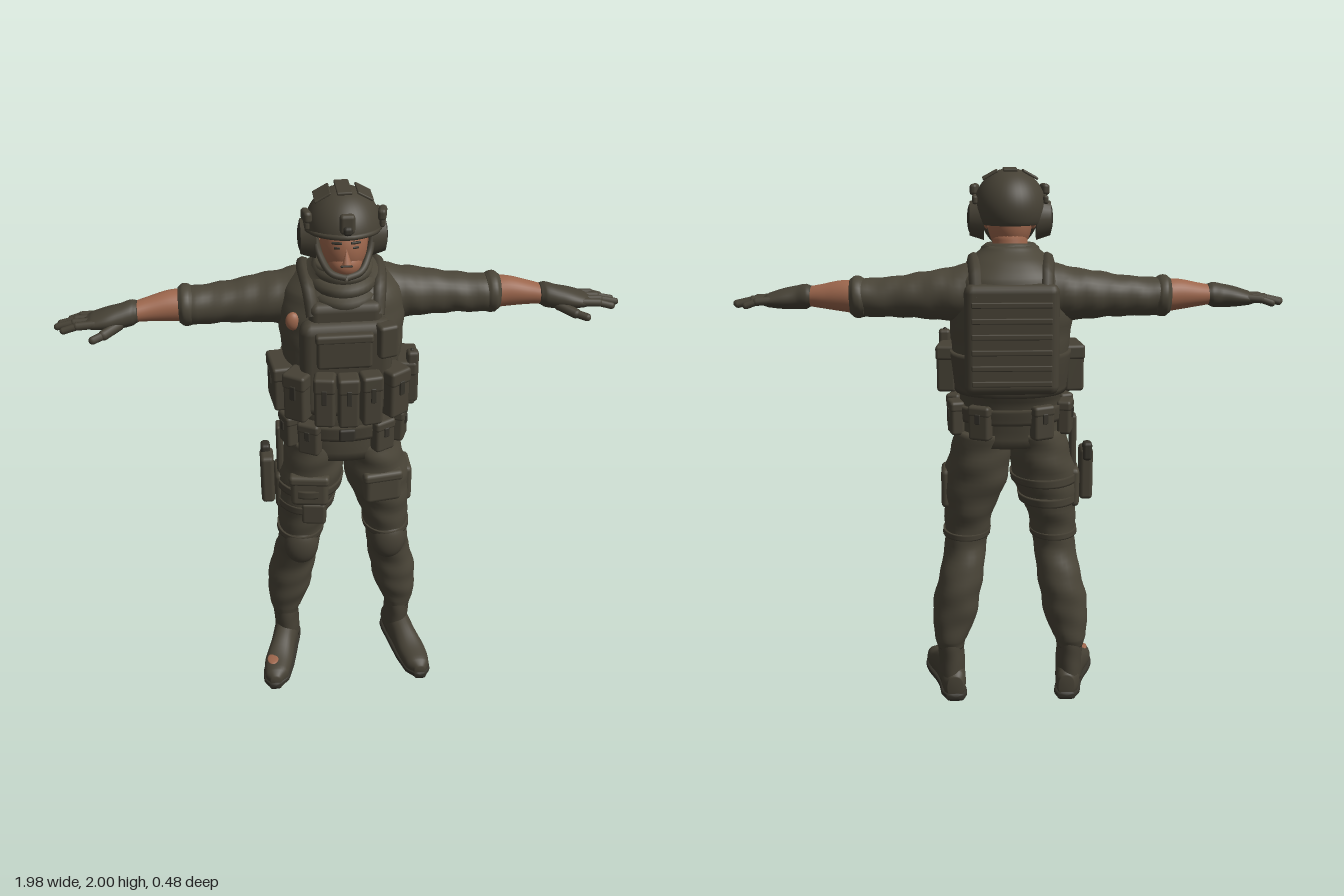
import * as THREE from 'three';
import { RoundedBoxGeometry } from 'three/addons/geometries/RoundedBoxGeometry.js';

const mat = (name, color) => Object.assign(new THREE.MeshStandardMaterial({ color }), { name, side: THREE.DoubleSide });
const V = (x, y, z) => new THREE.Vector3(x, y, z);

// Smooth skin through elliptical sections [t, u, v, ru, rv] along an axis.
// Axis y: u = x, v = z. Axis x: u = y, v = z. Axis z: u = x, v = y.
function loft(axis, sections, { n = 2, fold = 0, freq = 70, seg = 32, sub = 5 } = {}) {
  const pos = [], idx = [];
  const put = (t, u, v) => pos.push(...(axis === 'y' ? [u, t, v] : axis === 'x' ? [t, u, v] : [u, v, t]));
  const last = sections.length - 1, rows = last * sub;
  const at = (r) => {
    const i = Math.min(Math.floor(r / sub), last - 1), f = r / sub - i;
    const p = [i - 1, i, i + 1, i + 2].map((k) => sections[Math.max(0, Math.min(last, k))]);
    return p[0].map((_, k) => {
      const [a, b, c, d] = p.map((s) => s[k]);
      if (k === 0) return b + (c - b) * f;
      return b + 0.5 * f * (c - a + f * (2 * a - 5 * b + 4 * c - d + f * (3 * (b - c) + d - a)));
    });
  };
  const pw = (c) => Math.sign(c) * Math.pow(Math.abs(c), 2 / n);
  for (let r = 0; r <= rows; r++) {
    const [t, u, v, ru, rv] = at(r);
    for (let j = 0; j < seg; j++) {
      const a = (j / seg) * Math.PI * 2;
      const k = 1 + fold * (Math.sin(t * freq + 2.2 * Math.sin(a + 1)) + 0.6 * Math.sin(t * freq * 0.6 - 3 * a));
      put(t, u + pw(Math.cos(a)) * ru * k, v + pw(Math.sin(a)) * rv * k);
    }
  }
  const flip = axis === 'y';
  const tri = (a, b, c) => idx.push(a, ...(flip ? [c, b] : [b, c]));
  for (let r = 0; r < rows; r++) for (let j = 0; j < seg; j++) {
    const a = r * seg + j, b = r * seg + ((j + 1) % seg);
    tri(a, b, b + seg);
    tri(a, b + seg, a + seg);
  }
  // End caps
  [0, rows].forEach((r, e) => {
    const c = pos.length / 3, [t, u, v] = at(r);
    put(t, u, v);
    for (let j = 0; j < seg; j++) {
      const a = r * seg + j, b = r * seg + ((j + 1) % seg);
      e ? tri(c, a, b) : tri(c, b, a);
    }
  });
  const g = new THREE.BufferGeometry();
  g.setAttribute('position', new THREE.Float32BufferAttribute(pos, 3));
  g.setIndex(idx);
  g.computeVertexNormals();
  return g;
}

// Mirror across x with corrected face order
function mirrored(geo) {
  const g = geo.clone().scale(-1, 1, 1);
  const src = g.index ? Array.from(g.index.array) : Array.from({ length: g.attributes.position.count }, (_, i) => i);
  for (let i = 0; i < src.length; i += 3) [src[i + 1], src[i + 2]] = [src[i + 2], src[i + 1]];
  g.setIndex(src);
  return g;
}

const rbox = (w, h, d, x, y, z, ry = 0, r = 0.012) =>
  new RoundedBoxGeometry(w, h, d, 2, Math.min(r, w * 0.45, h * 0.45, d * 0.45)).rotateY(ry).translate(x, y, z);
const ball = (rx, ry, rz, x, y, z) => new THREE.SphereGeometry(1, 28, 20).scale(rx, ry, rz).translate(x, y, z);
const tube = (r, ...p) => new THREE.TubeGeometry(new THREE.CatmullRomCurve3(p), 20, r, 8);
const rod = (r, a, b) => {
  const d = b.clone().sub(a), m = a.clone().add(b).multiplyScalar(0.5);
  const q = new THREE.Quaternion().setFromUnitVectors(V(0, 1, 0), d.clone().normalize());
  return new THREE.CapsuleGeometry(r, d.length(), 5, 10).applyQuaternion(q).translate(m.x, m.y, m.z);
};

export function createModel() {
  const root = new THREE.Group();
  root.name = 'soldier';
  const cloth = mat('oliveCloth', 0x4a4538), gear = mat('oliveGear', 0x464135);
  const dark = mat('darkTrim', 0x35322a), skin = mat('skin', 0x9c664c);
  const add = (name, geo, m) => {
    const mesh = new THREE.Mesh(geo, m);
    mesh.name = name;
    root.add(mesh);
  };
  const pair = (name, geo, m) => {
    add(name + 'Left', geo, m);
    add(name + 'Right', mirrored(geo), m);
  };
  // Pouch with a lid and a closing tab
  const pouch = (name, x, y, z, w, h, d, ry = 0) => {
    add(name, rbox(w, h, d, x, y, z, ry), gear);
    add(name + 'Flap', rbox(w * 1.06, h * 0.32, d * 1.1, x, y + h * 0.35, z, ry), gear);
    const o = d * 0.54;
    add(name + 'Tab', rbox(w * 0.25, h * 0.3, 0.008, x + Math.sin(ry) * o, y + h * 0.14, z + Math.cos(ry) * o, ry, 0.003), dark);
  };

  // Jacket body
  add('jacket', loft('y', [
    [1.02, 0, 0, 0.185, 0.15], [1.18, 0, -0.01, 0.185, 0.165], [1.28, 0, -0.03, 0.2, 0.185],
    [1.42, 0, -0.04, 0.215, 0.185], [1.54, 0, -0.05, 0.222, 0.178], [1.63, 0, -0.055, 0.205, 0.16],
    [1.69, 0, -0.045, 0.145, 0.125], [1.74, 0, -0.01, 0.09, 0.1]], { n: 2.3, fold: 0.008, seg: 48 }), cloth);

  // Sleeves, rolled cuffs, forearms
  pair('sleeve', loft('x', [
    [0.1, 1.58, -0.08, 0.11, 0.11], [0.2, 1.575, -0.085, 0.095, 0.1], [0.3, 1.57, -0.085, 0.083, 0.087],
    [0.4, 1.565, -0.08, 0.072, 0.077], [0.5, 1.56, -0.075, 0.068, 0.073], [0.55, 1.562, -0.073, 0.068, 0.068]], { fold: 0.022, freq: 75 }), cloth);
  pair('cuff', loft('x', [
    [0.515, 1.561, -0.074, 0.066, 0.07], [0.53, 1.562, -0.074, 0.073, 0.076],
    [0.55, 1.563, -0.073, 0.073, 0.075], [0.565, 1.564, -0.071, 0.062, 0.062]], { fold: 0.012 }), cloth);
  pair('forearm', loft('x', [
    [0.54, 1.563, -0.072, 0.058, 0.058], [0.6, 1.566, -0.065, 0.054, 0.053],
    [0.67, 1.563, -0.052, 0.042, 0.046], [0.74, 1.56, -0.035, 0.032, 0.04]]), skin);

  // Gloves with four fingers and a thumb
  pair('glove', loft('x', [
    [0.705, 1.562, -0.04, 0.036, 0.044], [0.725, 1.56, -0.035, 0.044, 0.05], [0.76, 1.555, -0.025, 0.042, 0.05],
    [0.81, 1.55, -0.02, 0.036, 0.056], [0.86, 1.545, -0.018, 0.025, 0.054], [0.885, 1.542, -0.017, 0.014, 0.045]]), gear);
  [[-0.058, -0.066, 0.935], [-0.031, -0.035, 0.968], [-0.004, -0.008, 0.978], [0.022, 0.026, 0.955]].forEach(([z0, z1, tip], i) => {
    const mid = V((0.86 + tip) / 2, 1.545, (z0 + z1) / 2);
    pair('finger' + i, rod(0.0145, V(0.85, 1.548, z0), mid), gear);
    pair('fingertip' + i, rod(0.0125, mid, V(tip, 1.532, z1)), gear);
  });
  pair('thumb', rod(0.018, V(0.77, 1.535, 0.01), V(0.82, 1.52, 0.05)), gear);
  pair('thumbTip', rod(0.014, V(0.82, 1.52, 0.05), V(0.855, 1.515, 0.075)), gear);

  // Trousers with bunched lower legs, knee pads, cargo pockets
  pair('trouserLeg', loft('y', [
    [0.2, 0.23, -0.04, 0.052, 0.07], [0.24, 0.23, -0.04, 0.064, 0.08], [0.32, 0.215, -0.035, 0.083, 0.09],
    [0.4, 0.205, -0.033, 0.087, 0.097], [0.5, 0.185, -0.025, 0.083, 0.1], [0.6, 0.17, 0.012, 0.08, 0.105],
    [0.67, 0.163, 0.015, 0.085, 0.107], [0.76, 0.152, 0.01, 0.097, 0.123], [0.88, 0.128, 0.005, 0.121, 0.142],
    [0.98, 0.112, 0, 0.112, 0.15], [1.07, 0.1, -0.005, 0.1, 0.15]], { n: 2.15, fold: 0.02, freq: 62 }), cloth);
  pair('kneePad', ball(0.066, 0.085, 0.05, 0.168, 0.61, 0.088), gear);
  pair('kneeStrap', loft('y', [[0.645, 0.166, 0.015, 0.09, 0.112], [0.668, 0.164, 0.015, 0.091, 0.113]]), gear);
  pair('thighPocket', rbox(0.14, 0.12, 0.05, 0.135, 0.885, 0.128, 0.15, 0.02), cloth);
  pair('thighPocketFlap', rbox(0.15, 0.04, 0.055, 0.135, 0.935, 0.129, 0.15, 0.015), cloth);
  pair('sidePocket', rbox(0.04, 0.15, 0.13, 0.238, 0.84, 0.0, 0, 0.018), cloth);

  // Boots
  pair('bootShaft', loft('y', [[0.06, 0.227, -0.045, 0.05, 0.075], [0.13, 0.228, -0.04, 0.05, 0.076],
    [0.2, 0.23, -0.04, 0.05, 0.076], [0.26, 0.23, -0.04, 0.05, 0.072]], { fold: 0.012 }), gear);
  pair('bootFoot', loft('z', [
    [-0.125, 0.215, 0.052, 0.03, 0.045], [-0.1, 0.22, 0.062, 0.045, 0.06], [-0.03, 0.23, 0.077, 0.05, 0.075],
    [0.05, 0.25, 0.067, 0.05, 0.065], [0.13, 0.273, 0.049, 0.056, 0.045], [0.2, 0.286, 0.04, 0.046, 0.036],
    [0.232, 0.292, 0.033, 0.02, 0.023]], { n: 2.3 }), gear);
  pair('bootSole', loft('z', [
    [-0.13, 0.215, 0.014, 0.034, 0.014], [-0.09, 0.22, 0.014, 0.05, 0.014], [0.0, 0.236, 0.014, 0.05, 0.014],
    [0.12, 0.271, 0.014, 0.06, 0.014], [0.2, 0.287, 0.014, 0.05, 0.014], [0.238, 0.293, 0.014, 0.022, 0.014]], { n: 3.5 }), dark);
  add('wornToePatch', ball(0.022, 0.006, 0.03, -0.298, 0.085, 0.155), skin);

  // Neck scarf
  add('neck', loft('y', [[1.66, 0, 0.0, 0.07, 0.075], [1.78, 0, 0.01, 0.06, 0.065]]), skin);
  [[1.645, 0.118, 0.03], [1.68, 0.108, 0.03], [1.715, 0.095, 0.025]].forEach(([y, r, t], i) =>
    add('scarfFold' + i, new THREE.TorusGeometry(r - t * 0.5, t, 10, 36).rotateX(Math.PI / 2 + 0.22 - i * 0.05)
      .scale(1, 1, 1.05).translate(0, y, -0.005), cloth));

  // Face
  add('head', ball(0.08, 0.112, 0.1, 0, 1.815, 0.035), skin);
  add('jaw', ball(0.058, 0.05, 0.06, 0, 1.765, 0.078), skin);
  add('nose', new THREE.ConeGeometry(0.016, 0.05, 10).rotateX(-0.25).translate(0, 1.808, 0.142), skin);
  add('mouth', rbox(0.04, 0.006, 0.008, 0, 1.772, 0.136, 0, 0.003), dark);
  pair('ear', ball(0.012, 0.03, 0.02, 0.083, 1.82, 0.015), skin);
  pair('eye', rbox(0.022, 0.008, 0.008, 0.03, 1.832, 0.124, 0.28, 0.003), dark);
  pair('brow', rbox(0.034, 0.008, 0.009, 0.031, 1.849, 0.125, 0.28, 0.003), dark);
  pair('chinStrap', tube(0.012, V(0.1, 1.86, 0.04), V(0.083, 1.79, 0.07), V(0.05, 1.742, 0.115), V(0, 1.728, 0.13)), gear);

  // Helmet shell, cut higher at the brow
  const shell = new THREE.SphereGeometry(1, 40, 28, 0, Math.PI * 2, 0, Math.PI * 0.64).scale(0.128, 0.136, 0.147).translate(0, 1.864, 0.017);
  const sp = shell.attributes.position;
  for (let i = 0; i < sp.count; i++) {
    const f = THREE.MathUtils.smoothstep(sp.getZ(i), -0.02, 0.06);
    sp.setY(i, Math.max(sp.getY(i), 1.81 + 0.065 * f));
  }
  shell.computeVertexNormals();
  add('helmet', shell, gear);
  add('helmetBrim', tube(0.009, V(-0.122, 1.868, 0.04), V(-0.085, 1.878, 0.122), V(0, 1.882, 0.165), V(0.085, 1.878, 0.122), V(0.122, 1.868, 0.04)), gear);
  add('helmetMount', rbox(0.05, 0.065, 0.03, 0, 1.925, 0.153), gear);
  add('mountHook', rbox(0.03, 0.03, 0.025, 0, 1.908, 0.172), dark);
  add('crownStrip', rbox(0.05, 0.01, 0.13, 0, 1.996, 0.01, 0, 0.004), gear);
  pair('helmetRail', rbox(0.018, 0.03, 0.14, 0.124, 1.895, 0.015), gear);
  pair('helmetLamp', rbox(0.028, 0.04, 0.06, 0.125, 1.925, 0.065, -0.2), gear);
  pair('crownPatch', rbox(0.06, 0.008, 0.1, 0.07, 1.975, 0.01, 0, 0.003).translate(-0.07, -1.975, 0).rotateZ(-0.5).translate(0.07, 1.979, 0), gear);
  pair('earCup', new THREE.CylinderGeometry(0.052, 0.066, 0.05, 24).rotateZ(-Math.PI / 2).scale(1, 1.15, 1).translate(0.118, 1.828, 0), gear);
  pair('earCupCap', ball(0.012, 0.052, 0.044, 0.14, 1.828, 0), dark);

  // Plate carrier: panels, shoulder straps, webbing
  add('frontPanel', rbox(0.32, 0.36, 0.09, 0, 1.39, 0.115, 0, 0.04), gear);
  add('chestPanel', rbox(0.25, 0.13, 0.07, 0, 1.565, 0.095, 0, 0.03), gear);
  add('backPanel', rbox(0.33, 0.39, 0.07, 0, 1.43, -0.2, 0, 0.032), gear);
  add('waistBand', loft('y', [[1.22, 0, -0.02, 0.205, 0.185], [1.3, 0, -0.03, 0.212, 0.19], [1.37, 0, -0.035, 0.22, 0.19]], { n: 2.4 }), gear);
  pair('shoulderStrap', tube(0.024, V(0.11, 1.58, 0.105), V(0.12, 1.66, 0.06), V(0.13, 1.69, -0.04), V(0.125, 1.66, -0.16), V(0.12, 1.57, -0.215)), gear);
  for (let i = 0; i < 6; i++) add('backWebbing' + i, rbox(0.28, 0.02, 0.012, 0, 1.28 + i * 0.055, -0.234, 0, 0.004), gear);
  add('chestPouch', rbox(0.19, 0.11, 0.04, -0.01, 1.47, 0.165), gear);
  add('chestPouchFlap', rbox(0.2, 0.035, 0.046, -0.01, 1.525, 0.163), gear);
  add('radioPouch', rbox(0.07, 0.12, 0.06, 0.135, 1.505, 0.15, 0.3), gear);
  add('chestSkinPatch', ball(0.026, 0.033, 0.02, -0.177, 1.55, 0.07), skin);

  // Magazine and utility pouches
  [-0.08, 0, 0.08].forEach((x, i) => pouch('magazinePouch' + i, x, 1.3, 0.198 - Math.abs(x) * 0.15, 0.072, 0.19, 0.065, x * 2));
  [-1, 1].forEach((s) => {
    const side = s > 0 ? 'Left' : 'Right';
    pouch('frontSidePouch' + side, s * 0.165, 1.3, 0.135, 0.085, 0.18, 0.085, s * 0.6);
    pouch('sidePouch' + side, s * 0.225, 1.295, 0.02, 0.15, 0.17, 0.07, s * 1.45);
  });
  add('radio', rbox(0.042, 0.2, 0.045, 0.24, 1.32, 0.075), gear);
  add('radioAntenna', rod(0.007, V(0.24, 1.4, 0.075), V(0.238, 1.42, 0.075)), dark);

  // Belt and belt pouches
  add('belt', loft('y', [[1.11, 0, -0.003, 0.198, 0.165], [1.17, 0, -0.005, 0.2, 0.172]], { n: 2.3, seg: 48 }), gear);
  add('buckle', rbox(0.06, 0.05, 0.02, 0, 1.14, 0.167), dark);
  [[0.13, 0.135, 0.5], [0.2, 0.06, 1.2], [0.2, -0.06, 1.8], [0.11, -0.15, 2.7]].forEach(([x, z, ry], i) => {
    pouch('beltPouchLeft' + i, x, 1.12, z, 0.08, 0.125, 0.05, ry);
    pouch('beltPouchRight' + i, -x, 1.12, z, 0.08, 0.125, 0.05, -ry);
  });

  // Thigh holster with hanger and straps
  add('holster', rbox(0.05, 0.2, 0.09, -0.285, 0.885, 0.01, 0, 0.015), gear);
  add('pistolGrip', rbox(0.035, 0.07, 0.05, -0.288, 0.975, -0.02), dark);
  add('holsterHanger', rbox(0.025, 0.22, 0.06, -0.235, 1.0, 0.01, 0, 0.01), gear);
  [0.8, 0.88].forEach((y, i) => add('thighStrap' + i, loft('y', [
    [y - 0.016, -0.144 + i * 0.015, 0.008, 0.112 + i * 0.014, 0.138 + i * 0.014],
    [y + 0.016, -0.14 + i * 0.014, 0.008, 0.114 + i * 0.014, 0.141 + i * 0.012]]), gear));
  add('thighPouch', rbox(0.09, 0.09, 0.05, -0.12, 0.79, 0.13, -0.15), gear);
  return root;
}
